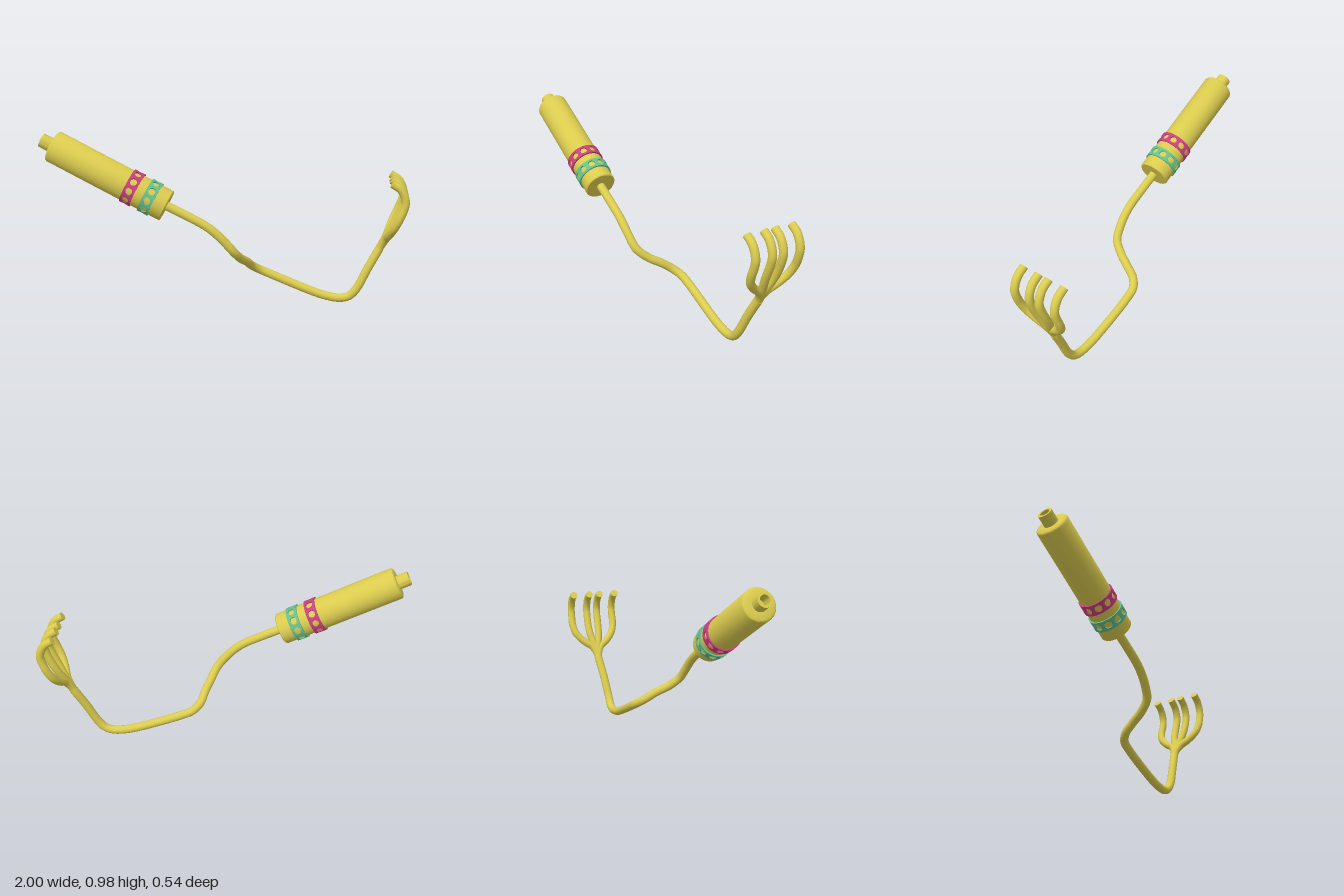
import * as THREE from 'three';
import { toCreasedNormals } from 'three/addons/utils/BufferGeometryUtils.js';

const material = (name, color, side = THREE.FrontSide) => {
  const m = new THREE.MeshStandardMaterial({ color, side });
  m.name = name;
  return m;
};

// Round pipe through a list of points, closed by a flat disc at each end
function pipe(name, points, radius, mat) {
  const group = new THREE.Group();
  group.name = name;
  const curve = new THREE.CatmullRomCurve3(points.map(p => new THREE.Vector3(...p)), false, 'centripetal');
  const body = new THREE.Mesh(new THREE.TubeGeometry(curve, points.length * 6, radius, 20), mat);
  body.name = name + 'Body';
  group.add(body);
  for (const t of [0, 1]) {
    const cap = new THREE.Mesh(new THREE.CircleGeometry(radius, 20), mat);
    cap.name = name + 'Cap';
    cap.position.copy(curve.getPoint(t));
    const dir = curve.getTangent(t).multiplyScalar(t ? 1 : -1);
    cap.quaternion.setFromUnitVectors(new THREE.Vector3(0, 0, 1), dir);
    group.add(cap);
  }
  return group;
}

// Band with round holes: flat perforated cells bent around the y axis
function perforatedBand(name, inner, outer, width, mat) {
  const group = new THREE.Group();
  group.name = name;
  const cells = 10, steps = 8;
  const arc = Math.PI * 2 / cells, len = arc * outer;
  const shape = new THREE.Shape();
  for (let i = 0; i <= steps; i++) {
    const x = (i / steps - 0.5) * len;
    if (i) shape.lineTo(x, -width / 2); else shape.moveTo(x, -width / 2);
  }
  for (let i = steps; i >= 0; i--) shape.lineTo((i / steps - 0.5) * len, width / 2);
  const hole = new THREE.Path();
  hole.absellipse(0, 0, 0.021, 0.019, 0, Math.PI * 2, true);
  shape.holes.push(hole);
  const flat = new THREE.ExtrudeGeometry(shape, { depth: outer - inner, bevelEnabled: false, curveSegments: 10 });
  const p = flat.attributes.position;
  for (let i = 0; i < p.count; i++) {
    const a = p.getX(i) / outer, r = inner + p.getZ(i);
    p.setXYZ(i, Math.sin(a) * r, p.getY(i), Math.cos(a) * r);
  }
  const geo = toCreasedNormals(flat, 0.6);
  for (let i = 0; i < cells; i++) {
    const cell = new THREE.Mesh(geo, mat);
    cell.name = name + 'Cell';
    cell.rotation.y = i * arc;
    group.add(cell);
  }
  return group;
}

export function createModel() {
  const model = new THREE.Group();
  model.name = 'exhaustSystem';
  const yellow = material('yellowMetal', 0xdacb4e);
  const magenta = material('magentaBand', 0xcb4080);
  const green = material('greenBand', 0x66c08f);

  // Silencer with a hollow tailpipe, turned around a sloping axis
  const silencer = new THREE.Group();
  silencer.name = 'silencer';
  silencer.position.set(-0.925, 0.915, 0.172);
  silencer.rotation.z = Math.atan2(-0.891, -0.452);
  const profile = [
    [0, 0.01], [0.026, 0.01], [0.026, -0.064], [0.039, -0.064], [0.039, 0],
    [0.076, 0], [0.084, 0.004], [0.0885, 0.012],
    [0.0885, 0.694], [0.084, 0.699], [0, 0.699],
  ].map(([x, y]) => new THREE.Vector2(x, y));
  const can = new THREE.Mesh(toCreasedNormals(new THREE.LatheGeometry(profile, 40), 0.6), yellow);
  can.name = 'silencerCan';
  silencer.add(can);
  for (const [name, y, mat] of [['magentaBand', 0.489, magenta], ['greenBand', 0.598, green]]) {
    const band = perforatedBand(name, 0.087, 0.0965, 0.062, mat);
    band.position.y = y;
    silencer.add(band);
  }
  model.add(silencer);

  // Long connecting pipe from the silencer to the collector
  model.add(pipe('connectingPipe', [
    [-0.32, 0.608, 0.172], [-0.2, 0.55, 0.172], [-0.096, 0.497, 0.172], [-0.04, 0.456, 0.17],
    [0.01, 0.406, 0.164], [0.06, 0.345, 0.147], [0.093, 0.292, 0.09], [0.12, 0.256, 0.025],
    [0.142, 0.215, -0.035], [0.185, 0.182, -0.071], [0.25, 0.153, -0.079], [0.48, 0.064, -0.079],
    [0.56, 0.04, -0.078], [0.64, 0.03, -0.077], [0.69, 0.044, -0.077], [0.73, 0.088, -0.077],
    [0.79, 0.208, -0.09], [0.85, 0.32, -0.107],
  ], 0.024, yellow));

  // Four header pipes fanning out from the collector: x, y, share of the spread
  const fan = [
    [0.84, 0.3, 0], [0.862, 0.345, 0.04], [0.884, 0.385, 0.2], [0.901, 0.42, 0.55],
    [0.925, 0.47, 0.88], [0.95, 0.525, 1], [0.969, 0.575, 1], [0.977, 0.615, 1],
    [0.968, 0.655, 1], [0.944, 0.692, 1], [0.902, 0.719, 1],
  ];
  [0.018, -0.081, -0.146, -0.247].forEach((z, i) => {
    const points = fan.map(([x, y, f]) => [x, y, -0.107 + (z + 0.107) * f]);
    model.add(pipe('headerPipe' + (i + 1), points, 0.022, yellow));
  });
  return model;
}
